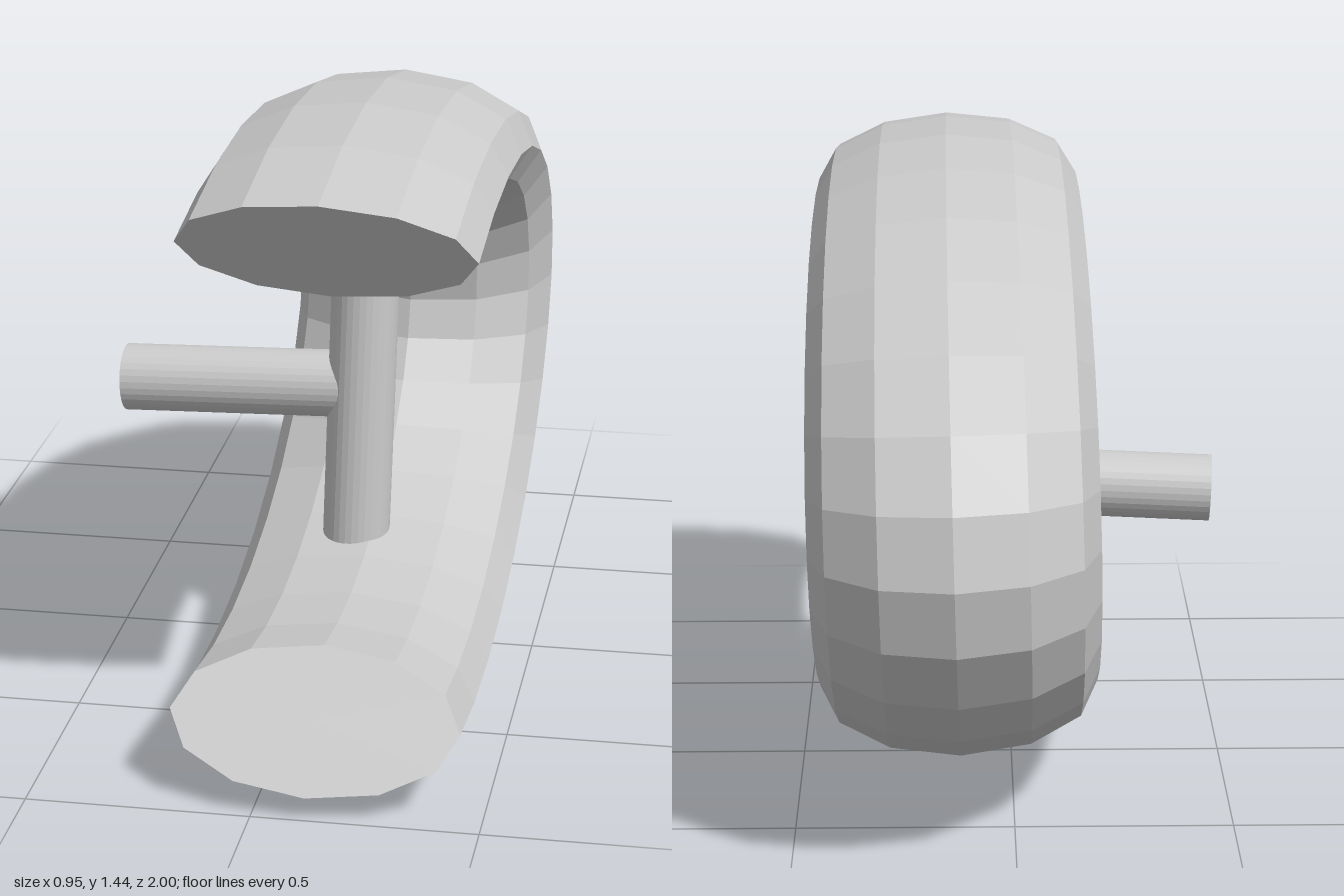
import * as THREE from 'three';
import { mergeGeometries } from 'three/addons/utils/BufferGeometryUtils.js';

const material = new THREE.MeshStandardMaterial({ color: 0xcccccc, flatShading: true });

// Straight round bar between two points
function bar(name, from, to, radius) {
  const a = new THREE.Vector3(...from);
  const b = new THREE.Vector3(...to);
  const dir = b.clone().sub(a);
  const mesh = new THREE.Mesh(new THREE.CylinderGeometry(radius, radius, dir.length(), 32), material);
  mesh.name = name;
  mesh.position.copy(a).add(b).multiplyScalar(0.5);
  mesh.quaternion.setFromUnitVectors(new THREE.Vector3(0, 1, 0), dir.normalize());
  return mesh;
}

// Open ring: a stretched partial torus closed by flat end caps
function openRing() {
  const R = 0.578, r = 0.143, sides = 12;
  const start = Math.PI * 0.375, arc = Math.PI * 1.25;
  const tube = new THREE.TorusGeometry(R, r, sides, 18, arc).rotateZ(start);
  const cap = (turn, angle) =>
    new THREE.CircleGeometry(r, sides).rotateX(turn).translate(R, 0, 0).rotateZ(angle);
  const geometry = mergeGeometries([
    tube,
    cap(Math.PI / 2, start),
    cap(-Math.PI / 2, start + arc),
  ]);
  // Opening turned to the front, then widened and lengthened
  geometry.rotateY(-Math.PI / 2).scale(2.24, 1, 2.01);
  geometry.rotateZ(-0.023);
  const mesh = new THREE.Mesh(geometry, material);
  mesh.name = 'openRing';
  mesh.position.set(0.135, 0.725, 0.447);
  return mesh;
}

export function createModel() {
  const group = new THREE.Group();
  group.name = 'ringWithCrossbar';
  group.add(
    openRing(),
    bar('post', [0.083, 0.24, 0.093], [0.109, 1.21, 0.057], 0.079),
    bar('sideArm', [-0.475, 0.652, 0.043], [0.09, 0.674, 0.064], 0.079),
  );
  return group;
}
